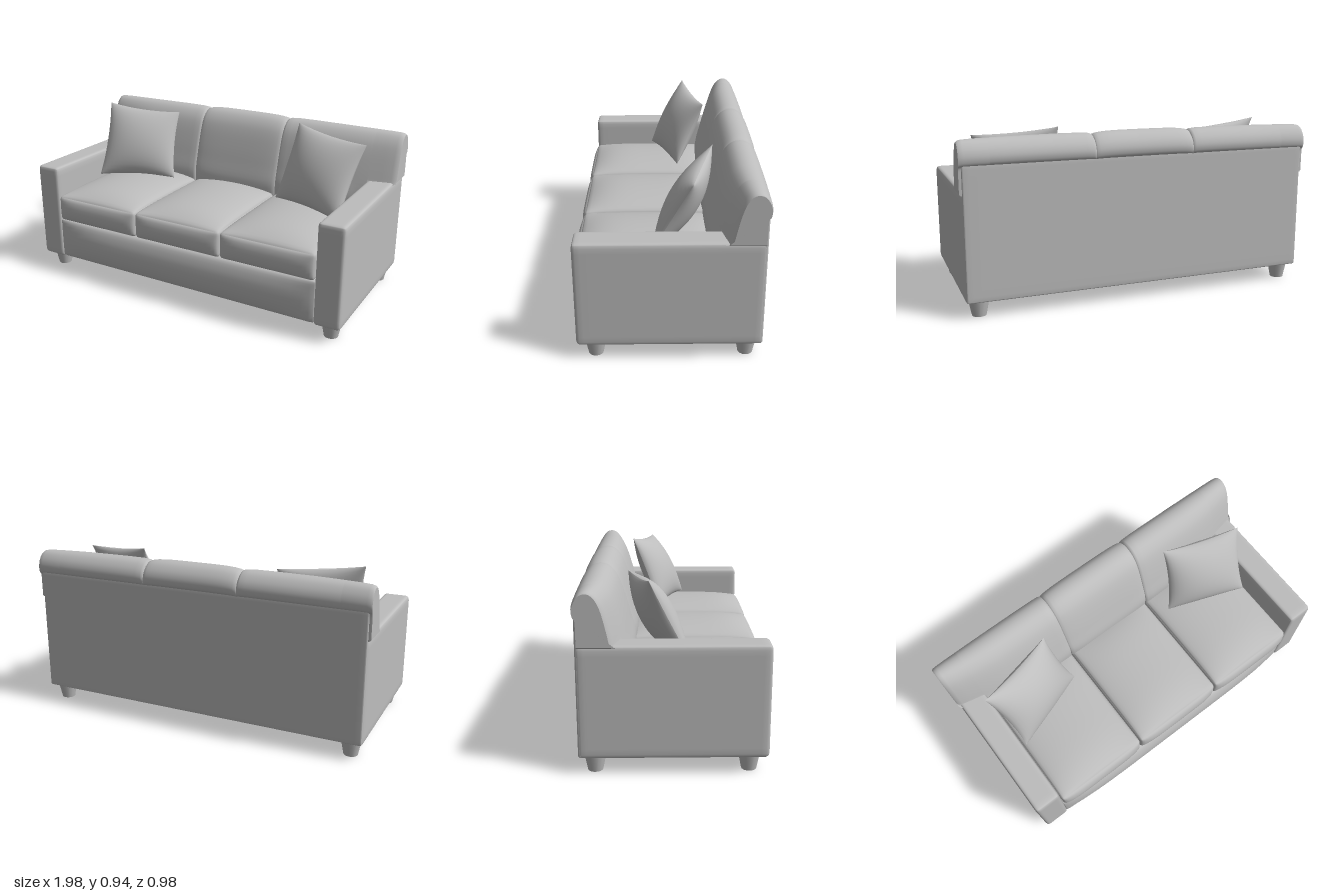
import * as THREE from 'three';
import { mergeVertices } from 'three/addons/utils/BufferGeometryUtils.js';

const fabric = new THREE.MeshStandardMaterial({ color: 0xbdbdbd });
fabric.name = 'grey fabric';

function addMesh(parent, name, geometry) {
  const mesh = new THREE.Mesh(geometry, fabric);
  mesh.name = name;
  parent.add(mesh);
  return mesh;
}

// Rounded box between two corners, with optional swelling of its top and front
function paddedBox([x0, y0, z0], [x1, y1, z1], radius, top = 0, front = 0) {
  const geo = new THREE.BoxGeometry(2, 2, 2, 20, 14, 20);
  geo.deleteAttribute('uv');
  geo.deleteAttribute('normal');
  const half = new THREE.Vector3(x1 - x0, y1 - y0, z1 - z0).multiplyScalar(0.5);
  const inner = half.clone().subScalar(radius);
  const centre = new THREE.Vector3(x0 + x1, y0 + y1, z0 + z1).multiplyScalar(0.5);
  const pos = geo.attributes.position;
  const p = new THREE.Vector3(), q = new THREE.Vector3();
  // Gather the grid lines towards the edges
  const ease = (u) => Math.sign(u) * (1 - (1 - Math.abs(u)) ** 2);
  for (let i = 0; i < pos.count; i++) {
    const ux = ease(pos.getX(i)), uy = ease(pos.getY(i)), uz = ease(pos.getZ(i));
    p.set(ux, uy, uz).multiply(half);
    q.copy(p).clamp(inner.clone().negate(), inner);
    p.sub(q).normalize().multiplyScalar(radius).add(q);
    p.y += top * Math.max(0, uy) * (1 - ux * ux) ** 0.7 * (1 - uz ** 4);
    p.z += front * Math.max(0, uz) * (1 - uy * uy) * (1 - ux ** 6);
    p.add(centre);
    pos.setXYZ(i, p.x, p.y, p.z);
  }
  const merged = mergeVertices(geo, 1e-5);
  merged.computeVertexNormals();
  return merged;
}

// Side profile of the back cushions as (z, y), from front bottom over the roll
const backProfile = new THREE.SplineCurve([
  [-0.20, 0.45], [-0.20, 0.54], [-0.225, 0.64], [-0.25, 0.73], [-0.28, 0.82], [-0.31, 0.88],
  [-0.35, 0.92], [-0.395, 0.932], [-0.44, 0.92], [-0.475, 0.885], [-0.49, 0.845], [-0.485, 0.81],
  [-0.468, 0.79], [-0.466, 0.74], [-0.466, 0.6], [-0.466, 0.45],
].map(([z, y]) => new THREE.Vector2(z, y))).getPoints(60);

// Skin over stations [x, scale, front depth, lowest y], given from -x to +x
function backCushion(stations) {
  const n = backProfile.length;
  const points = [], index = [];
  const ring = ([x, k, depth, low]) => backProfile.map((p) => {
    const z = -0.4 + (p.x + 0.4) * k;
    const y = 0.7 + (p.y - 0.7) * k;
    return [x, Math.max(low, y), -0.47 + (z + 0.47) * depth];
  });
  stations.forEach((s) => points.push(...ring(s)));
  for (let i = 0; i < stations.length - 1; i++) {
    for (let j = 0; j < n; j++) {
      const a = i * n + j, b = i * n + (j + 1) % n;
      index.push(a, a + n, b, b, a + n, b + n);
    }
  }
  // End caps
  [0, stations.length - 1].forEach((i) => {
    const start = points.length;
    points.push(...ring(stations[i]), [stations[i][0], 0.75, -0.4]);
    for (let j = 0; j < n; j++) {
      const a = start + j, b = start + (j + 1) % n;
      index.push(start + n, ...(i === 0 ? [a, b] : [b, a]));
    }
  });
  const geo = new THREE.BufferGeometry();
  geo.setAttribute('position', new THREE.Float32BufferAttribute(points.flat(), 3));
  geo.setIndex(index);
  geo.computeVertexNormals();
  return geo;
}

// Pillow stretched between four corners: bottom -x, bottom +x, top -x, top +x
function pillowGeometry(corners, thickness) {
  const [a, b, c, d] = corners.map((v) => new THREE.Vector3(...v));
  const normal = b.clone().sub(a).cross(c.clone().sub(a)).normalize();
  const n = 18, points = [], index = [];
  for (const side of [1, -1]) {
    const start = points.length / 3;
    for (let i = 0; i <= n; i++) {
      for (let j = 0; j <= n; j++) {
        const s = -Math.cos(Math.PI * i / n), t = -Math.cos(Math.PI * j / n);
        // Edges sag inward between the pointed corners
        const u = (s * (1 - 0.07 * (1 - t * t)) + 1) / 2;
        const v = (t * (1 - 0.07 * (1 - s * s)) + 1) / 2;
        const p = a.clone().lerp(b, u).lerp(c.clone().lerp(d, u), v);
        const swell = Math.max(0, (1 - s * s) * (1 - t * t)) ** 0.55;
        p.addScaledVector(normal, side * thickness * swell);
        points.push(p.x, p.y, p.z);
        if (i < n && j < n) {
          const k = start + i * (n + 1) + j, m = k + n + 1;
          index.push(...(side > 0 ? [k, m, k + 1, k + 1, m, m + 1] : [k, k + 1, m, k + 1, m + 1, m]));
        }
      }
    }
  }
  const geo = new THREE.BufferGeometry();
  geo.setAttribute('position', new THREE.Float32BufferAttribute(points, 3));
  geo.setIndex(index);
  geo.computeVertexNormals();
  return geo;
}

export function createModel() {
  const sofa = new THREE.Group();
  sofa.name = 'sofa';

  // Frame: base with swelling front rail, and rear panel
  addMesh(sofa, 'base', paddedBox([-0.84, 0.088, -0.46], [0.84, 0.335, 0.455], 0.02, 0, 0.035));
  addMesh(sofa, 'rearPanel', paddedBox([-0.978, 0.088, -0.473], [0.978, 0.81, -0.4], 0.012));

  // Arms and tapered feet
  for (const [side, label] of [[1, 'left'], [-1, 'right']]) {
    const xs = [0.832 * side, 0.982 * side].sort((p, q) => p - q);
    addMesh(sofa, `${label}Arm`, paddedBox([xs[0], 0.085, -0.472], [xs[1], 0.657, 0.46], 0.022));
    for (const [z, end] of [[0.367, 'Front'], [-0.395, 'Back']]) {
      const foot = addMesh(sofa, `${label}${end}Foot`, new THREE.CylinderGeometry(0.058, 0.038, 0.1, 16));
      foot.position.set(0.905 * side, 0.05, z);
    }
  }

  // Seat cushions
  const seams = [-0.832, -0.277, 0.277, 0.832];
  for (let i = 0; i < 3; i++) {
    addMesh(sofa, `seatCushion${i + 1}`,
      paddedBox([seams[i] + 0.002, 0.333, -0.28], [seams[i + 1] - 0.002, 0.485, 0.462], 0.02, 0.055, 0.022));
  }

  // Back cushions; the outer ones reach over the arms as wings
  const middle = [];
  for (let i = 0; i <= 16; i++) {
    const t = -Math.cos(Math.PI * i / 16);
    middle.push([0.28 * t, 0.9 + 0.1 * (1 - t ** 4) ** 0.4, 1, 0.4]);
  }
  addMesh(sofa, 'middleBackCushion', backCushion(middle));
  const wing = [
    [0.28, 0.9, 1, 0.4], [0.284, 0.935, 1, 0.4], [0.295, 0.96, 1, 0.4], [0.33, 0.975, 1, 0.4],
    [0.45, 0.98, 1, 0.4], [0.66, 0.975, 0.99, 0.4], [0.76, 0.97, 0.95, 0.4], [0.835, 0.965, 0.9, 0.4],
    [0.84, 0.965, 0.895, 0.645], [0.91, 0.96, 0.84, 0.645], [0.965, 0.95, 0.79, 0.645],
    [0.983, 0.935, 0.76, 0.648], [0.992, 0.9, 0.73, 0.655],
  ];
  addMesh(sofa, 'leftBackCushion', backCushion(wing));
  addMesh(sofa, 'rightBackCushion', backCushion(wing.map(([x, ...rest]) => [-x, ...rest]).reverse()));

  // Throw pillows leaning in the corners
  addMesh(sofa, 'leftPillow', pillowGeometry(
    [[0.35, 0.525, -0.08], [0.805, 0.52, 0.085], [0.415, 0.945, -0.24], [0.865, 0.905, -0.12]], 0.085));
  addMesh(sofa, 'rightPillow', pillowGeometry(
    [[-0.81, 0.52, 0.085], [-0.355, 0.525, -0.08], [-0.86, 0.94, -0.125], [-0.41, 0.905, -0.24]], 0.085));

  return sofa;
}
